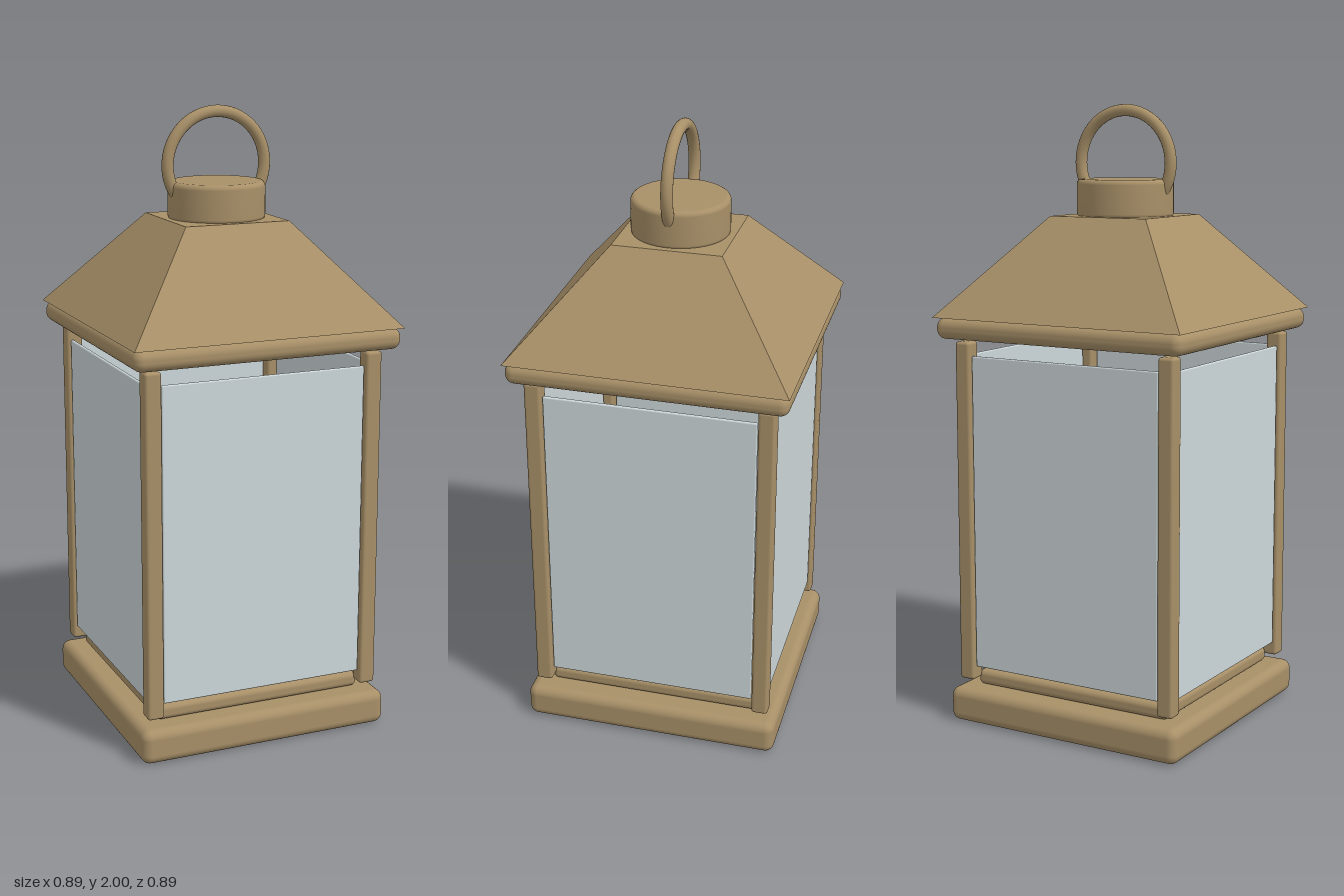
import * as THREE from 'three';
import { RoundedBoxGeometry } from 'three/addons/geometries/RoundedBoxGeometry.js';

const brass = new THREE.MeshStandardMaterial({ color: 0xa89068 });
brass.name = 'brass';
const glass = new THREE.MeshStandardMaterial({ color: 0xcdd7da });
glass.name = 'pale glass';
const wax = new THREE.MeshStandardMaterial({ color: 0xdcd6c6 });
wax.name = 'candle wax';

export function createModel() {
  const lantern = new THREE.Group();
  lantern.name = 'lantern';

  const add = (name, geometry, material, x = 0, y = 0, z = 0) => {
    const mesh = new THREE.Mesh(geometry, material);
    mesh.name = name;
    mesh.position.set(x, y, z);
    lantern.add(mesh);
    return mesh;
  };

  // Rounded square slab between two heights
  const slab = (name, half, y0, y1, radius) =>
    add(name, new RoundedBoxGeometry(half * 2, y1 - y0, half * 2, 4, radius), brass, 0, (y0 + y1) / 2, 0);

  // Upright round solid with softened rims
  const roundSolid = (name, r, y0, y1, bevel, material) => {
    const points = [new THREE.Vector2(0, y0)];
    for (let i = 0; i <= 4; i++) {
      const a = (i / 4) * Math.PI / 2;
      points.push(new THREE.Vector2(r - bevel + bevel * Math.sin(a), y0 + bevel - bevel * Math.cos(a)));
    }
    for (let i = 0; i <= 4; i++) {
      const a = (i / 4) * Math.PI / 2;
      points.push(new THREE.Vector2(r - bevel + bevel * Math.cos(a), y1 - bevel + bevel * Math.sin(a)));
    }
    points.push(new THREE.Vector2(0, y1));
    return add(name, new THREE.LatheGeometry(points, 48), material);
  };

  // Base and floor plate
  slab('base', 0.423, 0, 0.113, 0.03);
  slab('floorPlate', 0.355, 0.115, 0.165, 0.018);

  // Corner posts
  const postGeometry = new RoundedBoxGeometry(0.054, 1.115, 0.054, 3, 0.01);
  for (const x of [-1, 1])
    for (const z of [-1, 1]) add('cornerPost', postGeometry, brass, x * 0.37, 0.698, z * 0.37);

  // Glass panes, one on each side
  const paneGeometry = new RoundedBoxGeometry(0.68, 1.025, 0.012, 2, 0.005);
  for (let i = 0; i < 4; i++) {
    const a = (i * Math.PI) / 2;
    const pane = add('glassPane', paneGeometry, glass, Math.sin(a) * 0.38, 0.698, Math.cos(a) * 0.38);
    pane.rotation.y = a;
  }

  // Candle inside
  roundSolid('candle', 0.18, 0.175, 0.75, 0.01, wax);

  // Roof rim and four-sided hipped roof
  slab('roofRim', 0.444, 1.265, 1.333, 0.03);
  const roofGeometry = new THREE.CylinderGeometry(0.175 * Math.SQRT2, 0.447 * Math.SQRT2, 0.315, 4)
    .rotateY(Math.PI / 4).toNonIndexed();
  roofGeometry.computeVertexNormals();
  add('roof', roofGeometry, brass, 0, 1.4905, 0);

  // Cap and carrying ring
  roundSolid('cap', 0.156, 1.64, 1.764, 0.016, brass);
  add('carryingRing', new THREE.TorusGeometry(0.166, 0.019, 16, 64), brass, 0, 1.815, 0);

  return lantern;
}
